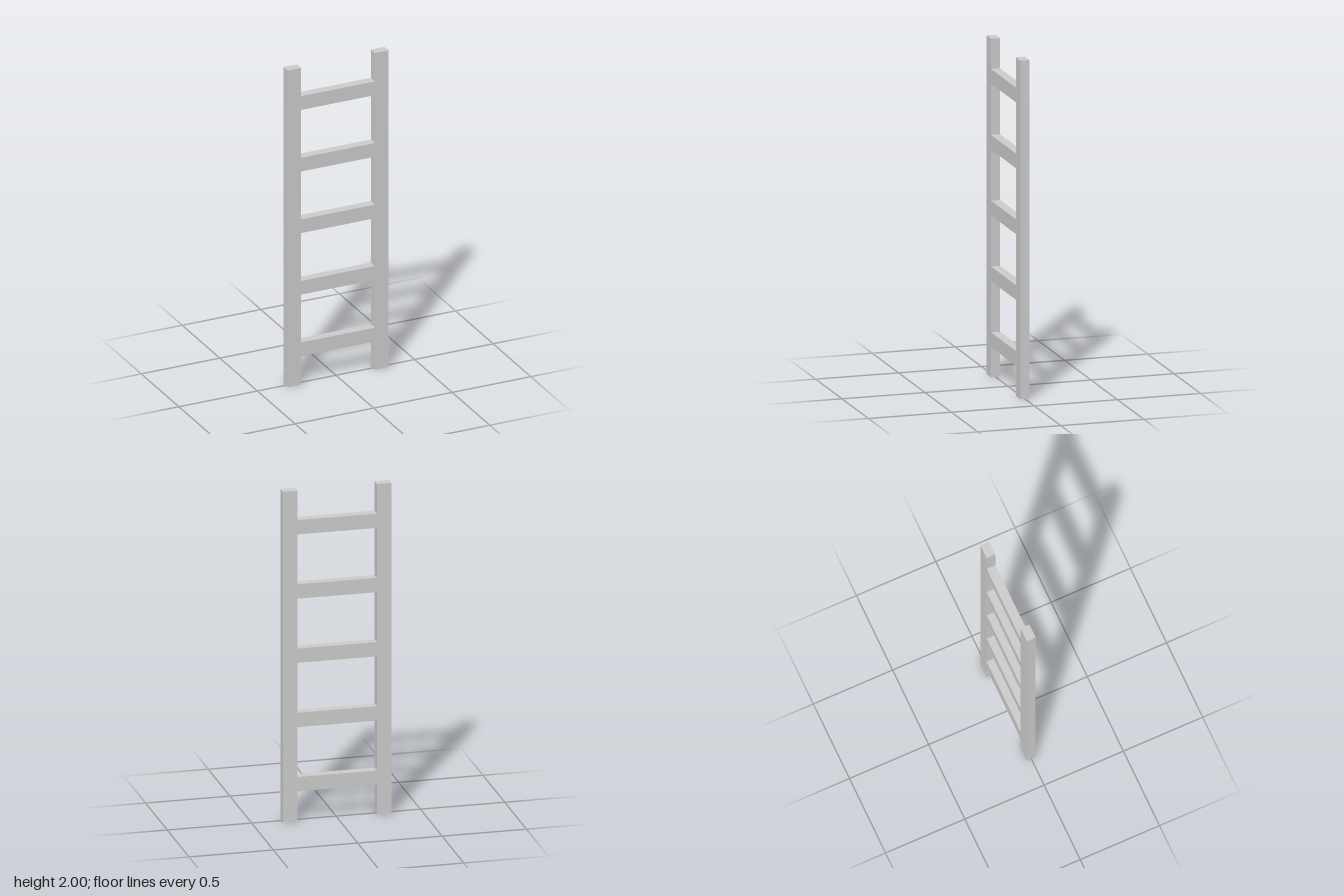
import * as THREE from 'three';

const HALF_W = 0.322;   // outer edge of the rails
const INNER = 0.235;    // inner edge of the rails
const HEIGHT = 2;
const DEPTH = 0.055;
const RUNGS = 5;
const SPACING = 0.389;
const HALF_RUNG = 0.0435;

const rungY = (i) => HEIGHT / 2 + (i - (RUNGS - 1) / 2) * SPACING;
const points = (list) => list.map(([x, y]) => new THREE.Vector2(x, y));

export function createModel() {
  const group = new THREE.Group();
  group.name = 'ladder';

  // Two rails joined by flush rungs, open between the rails at both ends
  const bottom = rungY(0) - HALF_RUNG;
  const top = rungY(RUNGS - 1) + HALF_RUNG;
  const outline = new THREE.Shape(points([
    [-HALF_W, 0], [-INNER, 0], [-INNER, bottom], [INNER, bottom], [INNER, 0], [HALF_W, 0],
    [HALF_W, HEIGHT], [INNER, HEIGHT], [INNER, top], [-INNER, top], [-INNER, HEIGHT], [-HALF_W, HEIGHT],
  ]));

  // Openings between neighbouring rungs
  for (let i = 0; i < RUNGS - 1; i++) {
    const low = rungY(i) + HALF_RUNG;
    const high = rungY(i + 1) - HALF_RUNG;
    outline.holes.push(new THREE.Path(points([
      [-INNER, low], [-INNER, high], [INNER, high], [INNER, low],
    ])));
  }

  const geometry = new THREE.ExtrudeGeometry(outline, { depth: DEPTH, bevelEnabled: false });
  geometry.translate(0, 0, -DEPTH / 2);

  const frame = new THREE.Mesh(geometry, new THREE.MeshStandardMaterial({ color: 0xcccccc }));
  frame.name = 'railsAndRungs';
  group.add(frame);
  return group;
}
